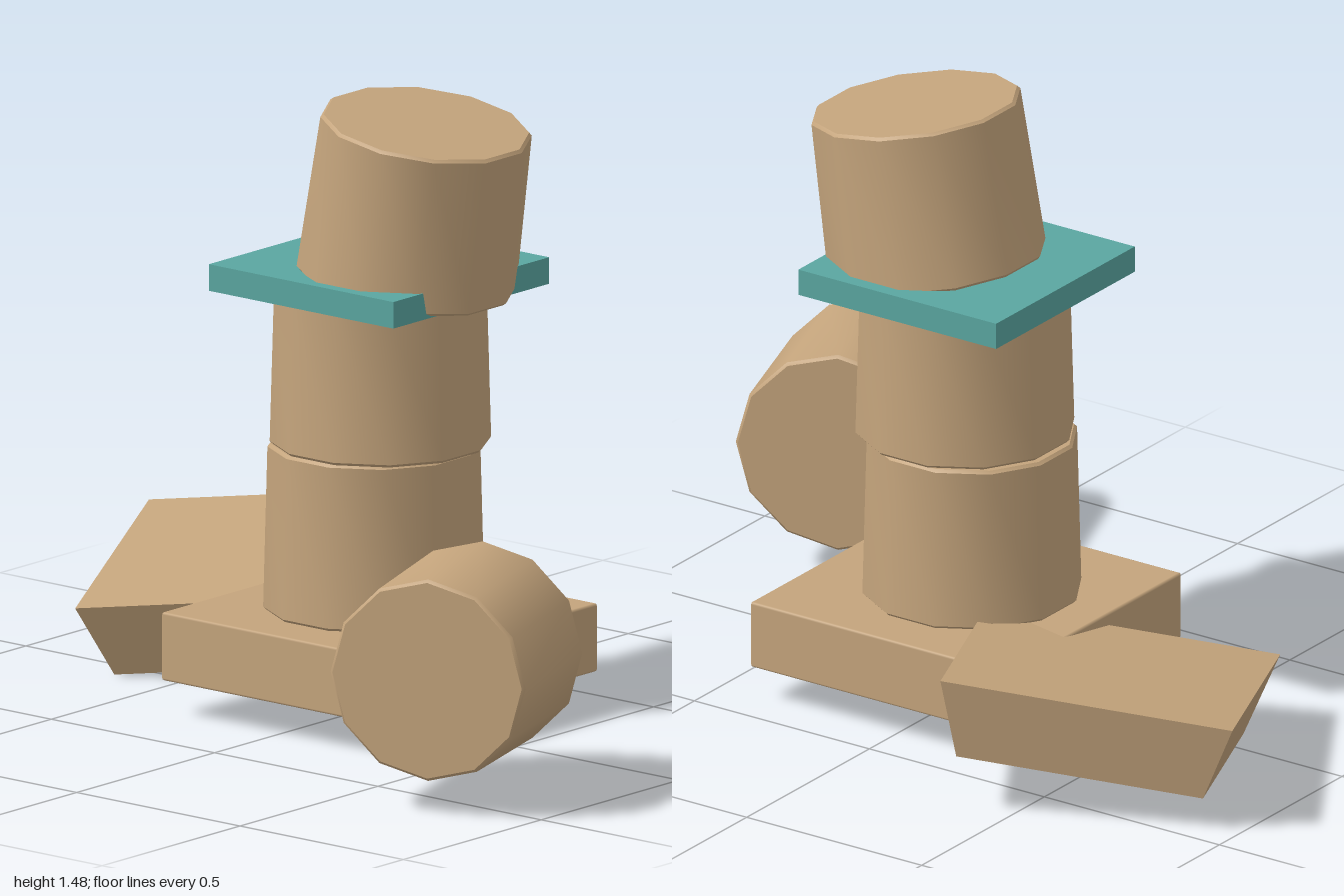
import * as THREE from 'three';
import { toCreasedNormals } from 'three/addons/utils/BufferGeometryUtils.js';
import { RoundedBoxGeometry } from 'three/addons/geometries/RoundedBoxGeometry.js';

const stone = new THREE.MeshStandardMaterial({ color: 0xc4a47c });
stone.name = 'sandstone';
const teal = new THREE.MeshStandardMaterial({ color: 0x5aa6a0 });
teal.name = 'teal';

// Twelve-sided, slightly tapered column drum with chamfered rims, centred on its axis
function drumGeometry(rBottom, rTop, height) {
  const h = height / 2, c = 0.007;
  const profile = [
    [0, -h], [rBottom - c, -h], [rBottom, -h + c],
    [rTop, h - c], [rTop - c, h], [0, h],
  ].map(([x, y]) => new THREE.Vector2(x, y));
  return toCreasedNormals(new THREE.LatheGeometry(profile, 12), 0.6);
}

export function createModel() {
  const model = new THREE.Group();
  model.name = 'ruinedColumn';

  const add = (name, geometry, material, x, y, z) => {
    const mesh = new THREE.Mesh(geometry, material);
    mesh.name = name;
    mesh.position.set(x, y, z);
    model.add(mesh);
    return mesh;
  };

  // Square plinth
  add('plinth', new RoundedBoxGeometry(0.725, 0.165, 0.725, 1, 0.006), stone, 0.034, 0.167, -0.058);

  // Stacked drums, the top one leaning over
  const drums = [
    ['lowerDrum', 0.02, 0.449, 0.4, 0],
    ['middleDrum', 0.04, 0.838, 0.372, 0],
    ['leaningDrum', 0.15, 1.25, 0.388, -0.16],
  ];
  for (const [name, x, y, height, tilt] of drums) {
    const geometry = drumGeometry(0.26, 0.25, height).rotateY(Math.PI / 12);
    add(name, geometry, stone, x, y, -0.054).rotation.z = tilt;
  }

  // Teal slab between the middle and leaning drums
  add('tealSlab', new THREE.BoxGeometry(0.565, 0.064, 0.565), teal, 0.033, 1.054, -0.057);

  // Drum lying on its side
  const fallen = add('fallenDrum', drumGeometry(0.248, 0.243, 0.383), stone, 0.703, 0.325, 0.459);
  fallen.rotation.set(Math.PI / 2, 0.347, 0, 'YXZ');

  // Toppled capital: a block narrowing towards its underside
  const block = new THREE.BoxGeometry(0.698, 0.19, 0.698);
  const p = block.attributes.position;
  for (let i = 0; i < p.count; i++) {
    if (p.getY(i) < 0) p.setXYZ(i, p.getX(i) * 0.845, p.getY(i), p.getZ(i) * 0.845);
  }
  block.computeVertexNormals();
  const capital = add('fallenCapital', block, stone, -0.529, 0.166, -0.294);
  const xAxis = new THREE.Vector3(0.63, 0.075, -0.292).normalize();
  const yAxis = new THREE.Vector3(0.3, -0.095, 0.623).cross(xAxis).normalize();
  const zAxis = new THREE.Vector3().crossVectors(xAxis, yAxis);
  capital.quaternion.setFromRotationMatrix(new THREE.Matrix4().makeBasis(xAxis, yAxis, zAxis));

  return model;
}
